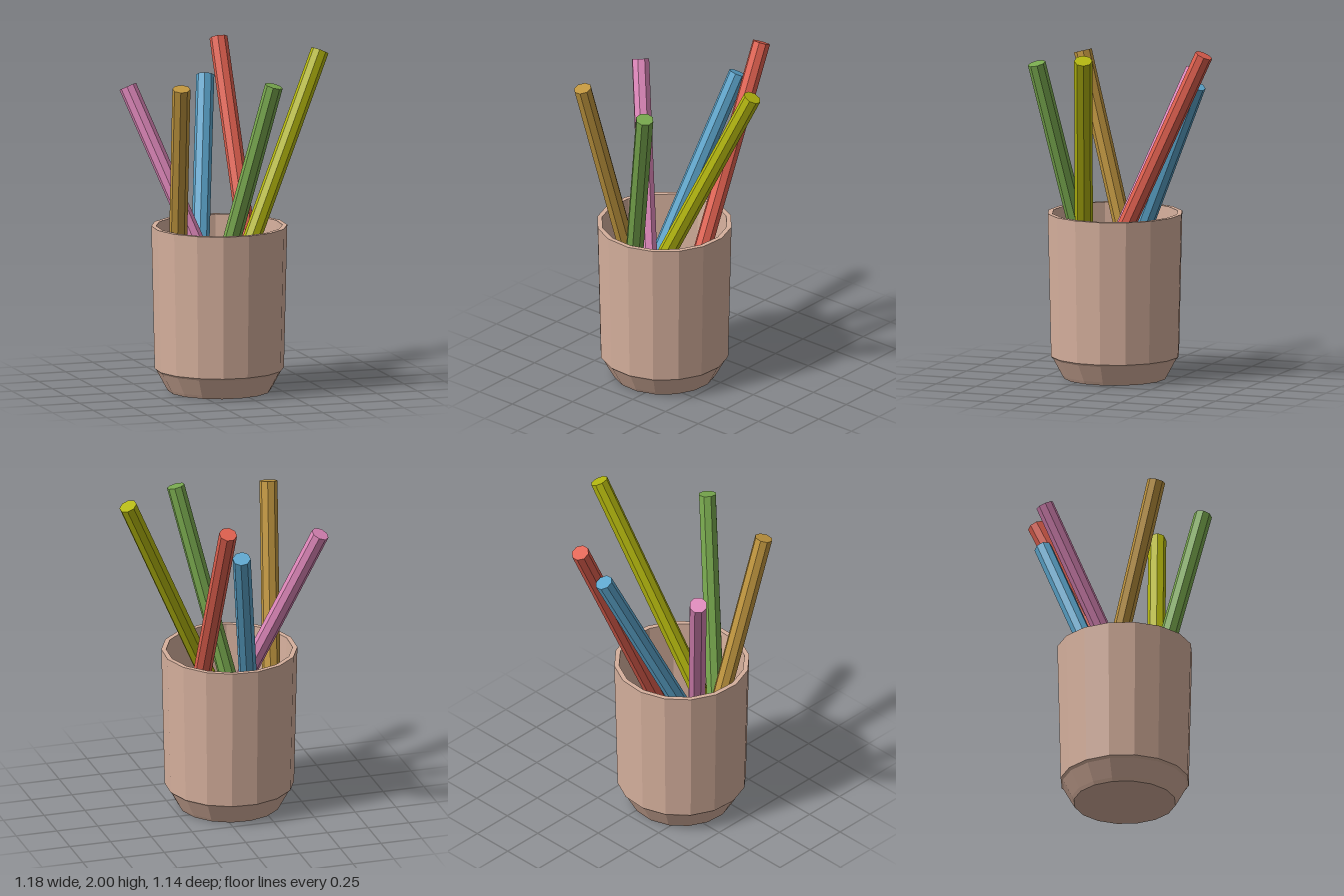
import * as THREE from 'three';

const paint = (name, color) => {
  const m = new THREE.MeshStandardMaterial({ color, flatShading: true });
  m.name = name;
  return m;
};

// Eight-sided rod running from its top centre down to its bottom centre
function makePencil(name, color, top, bottom) {
  const a = new THREE.Vector3(...bottom);
  const b = new THREE.Vector3(...top);
  const axis = b.clone().sub(a);
  const geometry = new THREE.CylinderGeometry(0.053, 0.053, axis.length(), 8, 1, false, Math.PI / 8);
  const mesh = new THREE.Mesh(geometry, paint(name + 'Paint', color));
  mesh.name = name;
  mesh.position.copy(a).add(b).multiplyScalar(0.5);
  mesh.quaternion.setFromUnitVectors(new THREE.Vector3(0, 1, 0), axis.normalize());
  return mesh;
}

export function createModel() {
  const model = new THREE.Group();
  model.name = 'pencilCup';

  // Faceted cup: underside, tapered foot, outer wall, rim, inner wall, ledge and floor
  const profile = [
    [0, 0], [0.3, 0], [0.312, 0.02], [0.366, 0.12], [0.379, 0.133], [0.3985, 0.98],
    [0.37, 0.98], [0.345, 0.42], [0.318, 0.4], [0.295, 0.3], [0, 0.3],
  ].map(([r, y]) => new THREE.Vector2(r, y));
  const cup = new THREE.Mesh(
    new THREE.LatheGeometry(profile, 16, THREE.MathUtils.degToRad(7.5)),
    paint('clay', 0xd6b09d)
  );
  cup.name = 'cup';
  cup.position.set(-0.09, 0, 0.105);
  model.add(cup);

  // Leaning pencils, each resting on the cup floor
  const pencils = [
    ['redPencil', 0xe0604f, [0.118, 1.977, -0.53], [0.118, 0.31, 0.25]],
    ['bluePencil', 0x5ca5cc, [0.008, 1.775, -0.445], [-0.255, 0.33, 0.2]],
    ['pinkPencil', 0xdf88bb, [-0.545, 1.775, -0.22], [-0.03, 0.32, 0.29]],
    ['greenPencil', 0x78a84e, [0.108, 1.867, 0.52], [-0.24, 0.3, 0.25]],
    ['ochrePencil', 0xc0963f, [-0.435, 1.866, 0.438], [-0.325, 0.3, 0.01]],
    ['olivePencil', 0xb3b60f, [0.545, 1.975, 0.062], [-0.2, 0.33, 0.34]],
  ];
  for (const p of pencils) model.add(makePencil(...p));

  return model;
}
